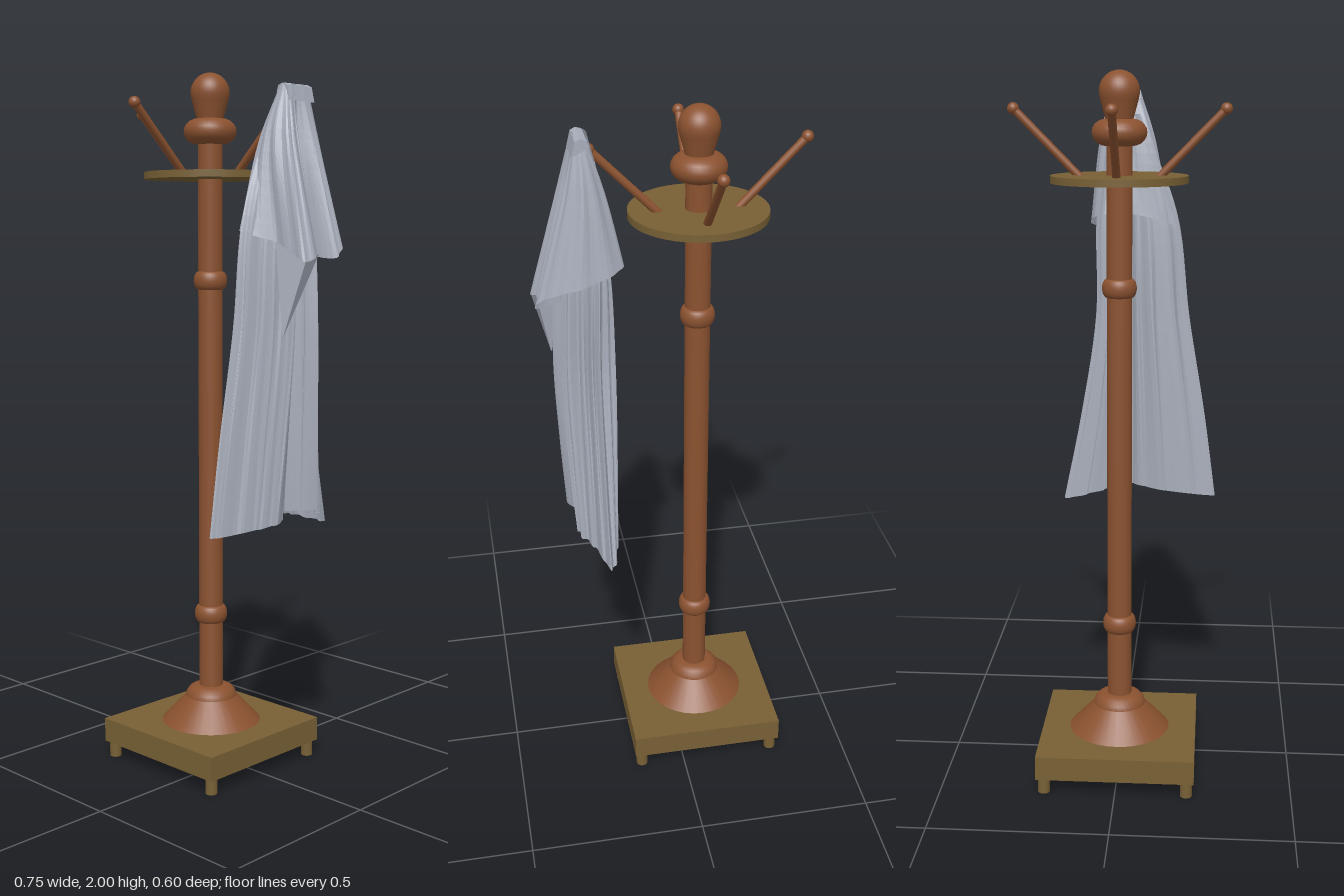
import * as THREE from 'three';

const wood = new THREE.MeshStandardMaterial({ color: 0x8b5230 });
wood.name = 'redBrownWood';
const olive = new THREE.MeshStandardMaterial({ color: 0x786035 });
olive.name = 'oliveWood';
const cloth = new THREE.MeshStandardMaterial({ color: 0xa8aebb, side: THREE.DoubleSide, flatShading: true });
cloth.name = 'greyCloth';

function add(parent, name, geometry, material, x = 0, y = 0, z = 0) {
  const mesh = new THREE.Mesh(geometry, material);
  mesh.name = name;
  mesh.position.set(x, y, z);
  parent.add(mesh);
  return mesh;
}

const lathe = (points) => new THREE.LatheGeometry(points.map(([r, y]) => new THREE.Vector2(r, y)), 32);

// Rounded collar: flattened half-round swelling around the post
function collar(radius, inner, height) {
  const points = [];
  for (let i = 0; i <= 10; i++) {
    const a = -Math.PI / 2 + (i / 10) * Math.PI;
    points.push([inner + (radius - inner) * Math.cos(a), (height / 2) * Math.sin(a)]);
  }
  return lathe(points);
}

// Hanging sheet lofted through closed outlines of [x, y, z], with fine pleats growing downwards
function drape(levels, columns, rows, pleats, depth) {
  const rings = levels.map((points) =>
    new THREE.CatmullRomCurve3(points.map((p) => new THREE.Vector3(...p)), true, 'centripetal'));
  const loops = rings.map((curve) => Array.from({ length: columns }, (_, i) => curve.getPoint(i / columns)));
  const positions = [], index = [];
  const columnCurves = loops[0].map((_, i) =>
    new THREE.CatmullRomCurve3(loops.map((loop) => loop[i]), false, 'centripetal'));
  for (let r = 0; r <= rows; r++) {
    const v = r / rows;
    const ring = columnCurves.map((curve) => curve.getPoint(v));
    const centre = ring.reduce((sum, p) => sum.add(p), new THREE.Vector3()).divideScalar(columns);
    ring.forEach((p, i) => {
      const wave = Math.cos((i / columns) * Math.PI * 2 * pleats + v * 1.5);
      const out = new THREE.Vector3(p.x - centre.x, 0, p.z - centre.z).normalize();
      p.addScaledVector(out, depth * Math.min(1, v * 2) * (wave - 1));
      positions.push(p.x, p.y, p.z);
    });
  }
  for (let r = 0; r < rows; r++) {
    for (let i = 0; i < columns; i++) {
      const a = r * columns + i, b = r * columns + (i + 1) % columns;
      index.push(a, b, a + columns, b, b + columns, a + columns);
    }
  }
  const geometry = new THREE.BufferGeometry();
  geometry.setAttribute('position', new THREE.Float32BufferAttribute(positions, 3));
  geometry.setIndex(index);
  geometry.computeVertexNormals();
  return geometry;
}

export function createModel() {
  const model = new THREE.Group();
  model.name = 'coatStand';

  const stand = new THREE.Group();
  stand.name = 'stand';
  stand.position.x = -0.073;
  model.add(stand);

  // Square plinth on four short feet
  add(stand, 'basePlinth', new THREE.BoxGeometry(0.45, 0.07, 0.45), olive, 0, 0.08, 0);
  for (const x of [-1, 1]) for (const z of [-1, 1])
    add(stand, 'foot', new THREE.CylinderGeometry(0.017, 0.017, 0.045, 16), olive, x * 0.203, 0.0225, z * 0.203);

  // Flared foot of the post
  add(stand, 'postFlare', lathe([[0.146, 0.115], [0.075, 0.19]]), wood);
  add(stand, 'postShoulder', lathe([[0.075, 0.19], [0.072, 0.203], [0.062, 0.214], [0.048, 0.221], [0.034, 0.222]]), wood);

  // Post with turned collars
  add(stand, 'post', new THREE.CylinderGeometry(0.035, 0.035, 1.72, 32), wood, 0, 1.0, 0);
  for (const y of [0.44, 1.42]) add(stand, 'postCollar', collar(0.048, 0.034, 0.052), wood, 0, y, 0);
  add(stand, 'topCollar', collar(0.075, 0.034, 0.072), wood, 0, 1.838, 0);

  // Finial: tapered neck running into a ball
  const finial = [[0.034, 1.85], [0.038, 1.874], [0.052, 1.925]];
  for (let i = 0; i <= 12; i++) {
    const a = -0.2 + (i / 12) * (Math.PI / 2 + 0.2);
    finial.push([Math.max(0, 0.055 * Math.cos(a)), 1.945 + 0.055 * Math.sin(a)]);
  }
  add(stand, 'finial', lathe(finial), wood);

  // Round tray carrying the pegs
  add(stand, 'pegDisc', new THREE.CylinderGeometry(0.187, 0.187, 0.02, 48), olive, 0, 1.715, 0);

  // Four slanted pegs with ball ends
  for (let i = 0; i < 4; i++) {
    const peg = new THREE.Group();
    peg.name = 'peg';
    peg.rotation.y = (i * Math.PI) / 2;
    const path = new THREE.LineCurve3(new THREE.Vector3(0.105, 1.718, 0), new THREE.Vector3(0.285, 1.9, 0));
    add(peg, 'pegRod', new THREE.TubeGeometry(path, 1, 0.011, 16), wood);
    add(peg, 'pegBall', new THREE.SphereGeometry(0.016, 20, 14), wood, 0.285, 1.9, 0);
    stand.add(peg);
  }

  // Garment hung from the left peg
  const garment = new THREE.Group();
  garment.name = 'hangingGarment';
  model.add(garment);

  // Long inner skirt, widening along z towards two trailing corners
  const skirt = [
    [1.88, 0.205, 0.255, -0.04, 0.04],
    [1.6, 0.165, 0.30, -0.085, 0.15],
    [1.3, 0.155, 0.32, -0.09, 0.19],
    [1.0, 0.16, 0.31, -0.135, 0.24],
    [0.76, 0.168, 0.297, -0.19, 0.275],
  ].map(([y, x0, x1, z0, z1], k) => {
    const sag = k === 4 ? 1 : 0;
    const mid = (x0 + x1) / 2;
    return [
      [mid - 0.03, y - 0.03 * sag, z0], [x0 + 0.005, y, z0 * 0.5], [x0 + 0.03, y + 0.02 * sag, 0],
      [x0, y + 0.01 * sag, z1 * 0.45], [mid - 0.035, y - 0.01 * sag, z1], [mid + 0.01, y, z1 * 0.65],
      [x1, y + 0.02 * sag, z1 * 0.4], [mid, y + 0.03 * sag, 0.01], [x1 - 0.01, y + 0.03 * sag, z0 * 0.35],
      [mid + 0.01, y, z0 * 0.6],
    ];
  });
  add(garment, 'innerSkirt', drape(skirt, 120, 28, 20, 0.008), cloth);

  // Short outer fold, gathered at the peg and spreading into lobes
  const flap = [
    [[0.225, 1.942, -0.05], [0.238, 1.945, -0.05], [0.25, 1.94, -0.045], [0.252, 1.945, -0.02], [0.248, 1.945, 0],
      [0.252, 1.945, 0.015], [0.25, 1.94, 0.035], [0.238, 1.945, 0.04], [0.225, 1.945, 0.035], [0.215, 1.945, 0]],
    [[0.18, 1.8, -0.05], [0.23, 1.8, -0.08], [0.28, 1.8, -0.06], [0.287, 1.8, -0.03], [0.26, 1.8, 0],
      [0.285, 1.8, 0.03], [0.285, 1.8, 0.06], [0.235, 1.8, 0.085], [0.19, 1.8, 0.08], [0.185, 1.8, 0.01]],
    [[0.137, 1.6, -0.066], [0.24, 1.57, -0.107], [0.352, 1.53, -0.075], [0.37, 1.49, -0.035], [0.275, 1.5, -0.003],
      [0.36, 1.5, 0.03], [0.37, 1.48, 0.095], [0.27, 1.53, 0.1], [0.19, 1.56, 0.155], [0.155, 1.6, 0.025]],
  ];
  add(garment, 'outerFold', drape(flap, 80, 14, 16, 0.003), cloth);

  // Folded strip over the peg tip
  const strip = [[0.216, 1.925], [0.222, 1.942], [0.238, 1.947], [0.252, 1.94], [0.262, 1.9]];
  const shape = new THREE.Shape();
  strip.forEach(([x, y], i) => (i ? shape.lineTo(x, y) : shape.moveTo(x, y)));
  add(garment, 'topFold', new THREE.ExtrudeGeometry(shape, { depth: 0.1, bevelEnabled: false }), cloth, 0, 0, -0.06);

  // Trailing corner of the fold on the front side
  const tail = new THREE.BufferGeometry();
  tail.setAttribute('position', new THREE.Float32BufferAttribute([
    0.37, 1.48, 0.095, 0.27, 1.53, 0.1, 0.318, 1.28, 0.125,
    0.36, 1.5, 0.03, 0.37, 1.48, 0.095, 0.318, 1.28, 0.125], 3));
  tail.computeVertexNormals();
  add(garment, 'foldCorner', tail, cloth);

  return model;
}
